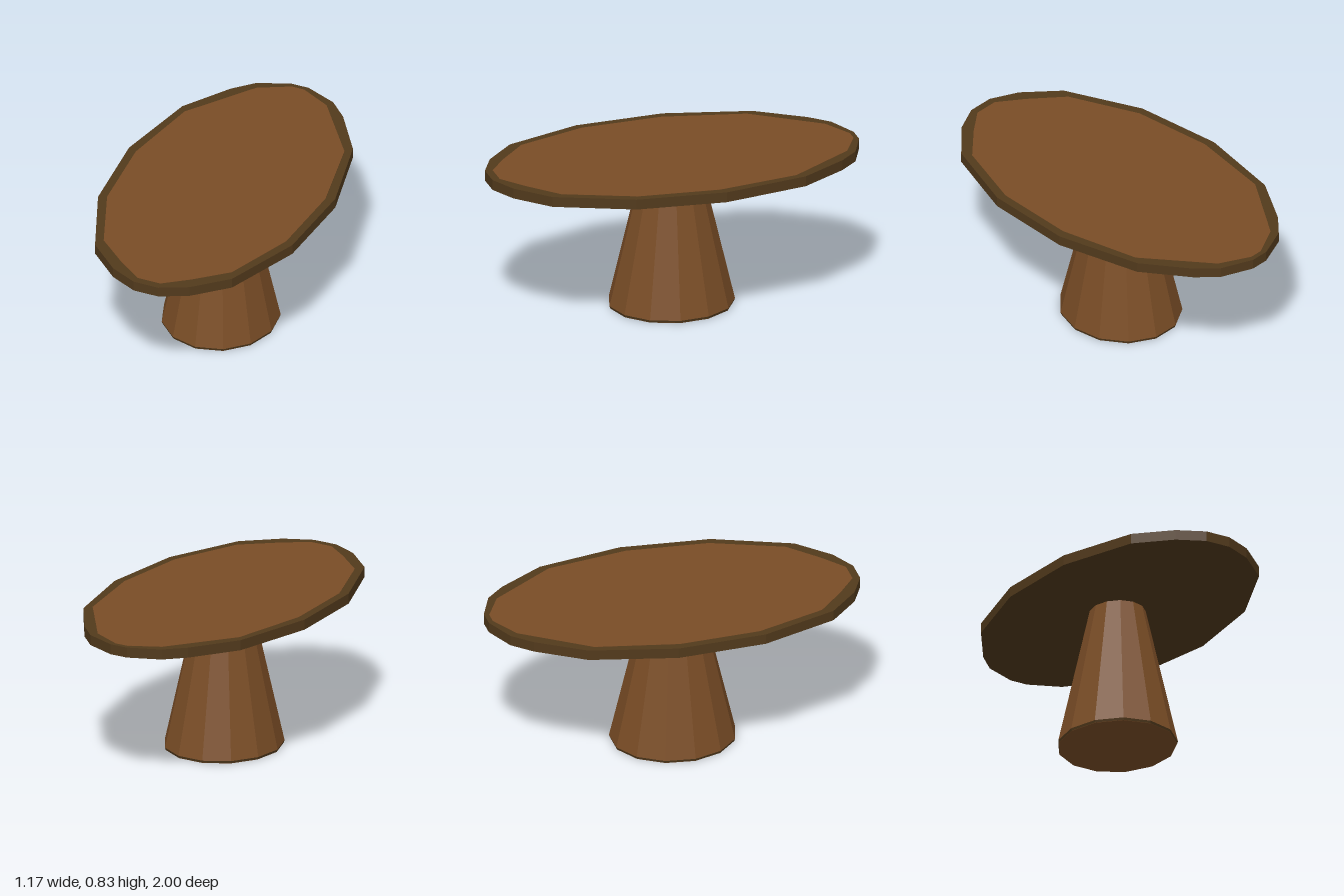
import * as THREE from 'three';

const wood = new THREE.MeshStandardMaterial({ color: 0x7a4d26, flatShading: true });
const darkWood = new THREE.MeshStandardMaterial({ color: 0x523a1c, flatShading: true });

// Horizontal slab from the +x half of its outline [x, z], mirrored to -x
function slab(name, half, top, thickness, material) {
  const mirrored = half.map(([x, z]) => [-x, z]).reverse();
  const shape = new THREE.Shape([...half, ...mirrored].map(([x, z]) => new THREE.Vector2(x, z)));
  const geometry = new THREE.ExtrudeGeometry(shape, { depth: thickness, bevelEnabled: false });
  geometry.rotateX(Math.PI / 2).translate(0, top, 0);
  const mesh = new THREE.Mesh(geometry, material);
  mesh.name = name;
  return mesh;
}

// Thirteen-sided, slightly oval column section
function column(name, rTop, rBottom, y0, y1, material) {
  const geometry = new THREE.CylinderGeometry(rTop, rBottom, y1 - y0, 13);
  geometry.scale(0.92, 1, 1).translate(-0.009, (y0 + y1) / 2, 0.005);
  const mesh = new THREE.Mesh(geometry, material);
  mesh.name = name;
  return mesh;
}

export function createModel() {
  const table = new THREE.Group();
  table.name = 'table';

  // Irregular oval top: dark slab with a lighter inlaid surface
  const outline = [
    [0.05, -1], [0.22, -0.93], [0.32, -0.83], [0.486, -0.58], [0.587, -0.12],
    [0.553, 0.36], [0.39, 0.77], [0.217, 0.93], [0.07, 1],
  ];
  const inlay = [
    [0.035, -0.975], [0.2, -0.89], [0.455, -0.54], [0.54, -0.1],
    [0.51, 0.34], [0.365, 0.715], [0.2, 0.86], [0.065, 0.96],
  ];
  table.add(slab('tabletop', outline, 0.825, 0.055, darkWood));
  table.add(slab('tabletopInlay', inlay, 0.826, 0.003, wood));

  // Tapered pedestal on a thin dark foot band
  table.add(column('pedestal', 0.156, 0.335, 0.014, 0.772, wood));
  table.add(column('footBand', 0.335, 0.331, 0.002, 0.014, darkWood));
  table.add(column('footBase', 0.331, 0.33, 0, 0.002, wood));

  return table;
}
